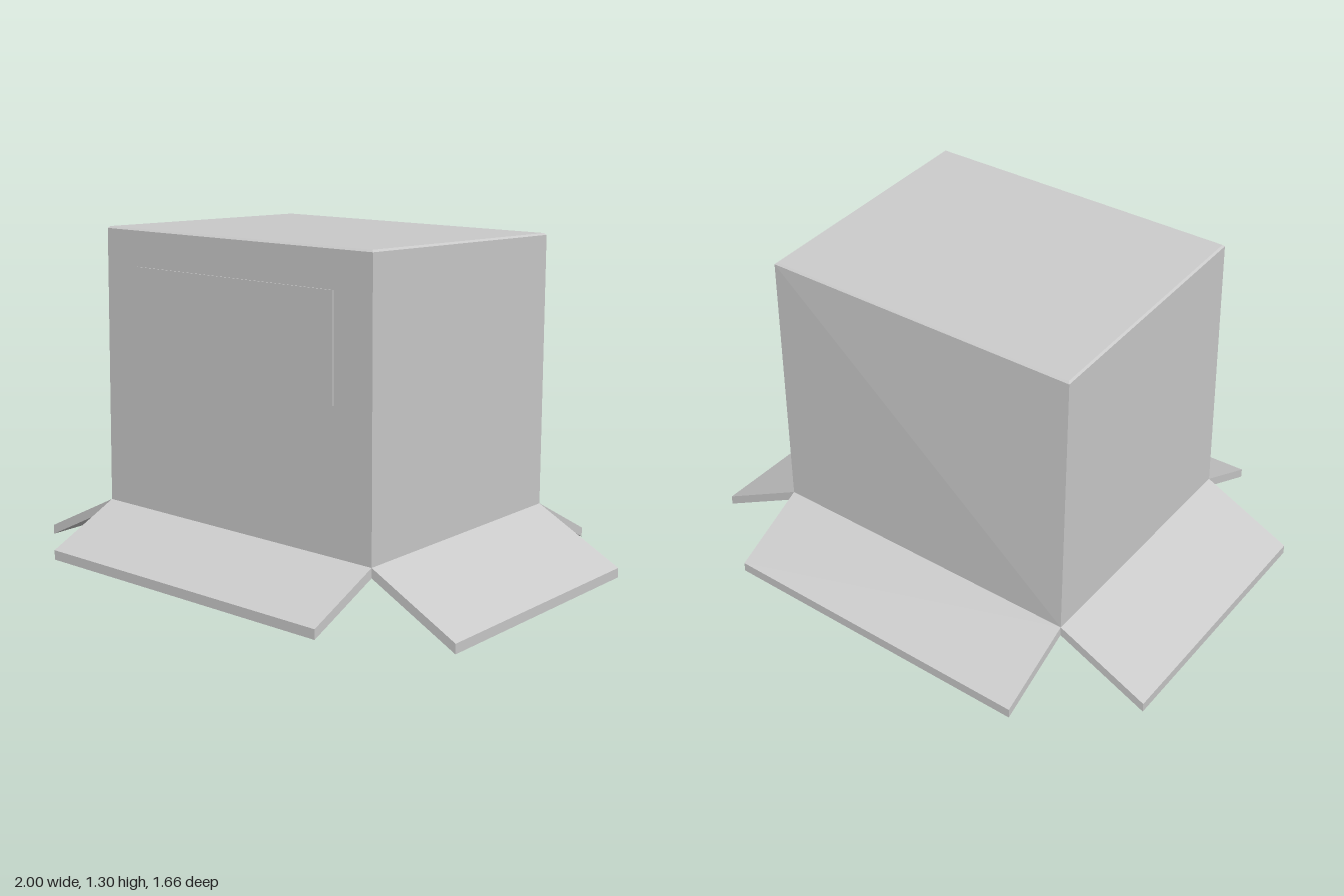
import * as THREE from 'three';

// Skin a stack of four-cornered rings (top to bottom, counterclockwise from above) and cap both ends.
function loft(rings) {
  const pos = [];
  const quad = (a, b, c, d) => [a, b, c, a, c, d].forEach((p) => pos.push(...p));
  quad(...rings[0]);
  for (let r = 0; r + 1 < rings.length; r++) {
    const up = rings[r], low = rings[r + 1];
    for (let i = 0; i < 4; i++) {
      const j = (i + 1) % 4;
      quad(up[i], low[i], low[j], up[j]);
    }
  }
  quad(...[...rings[rings.length - 1]].reverse());
  const geo = new THREE.BufferGeometry();
  geo.setAttribute('position', new THREE.Float32BufferAttribute(pos, 3));
  geo.computeVertexNormals();
  return geo;
}

// Move a ring's corners inward by d and up by dy.
const inset = (ring, d, dy) =>
  ring.map(([x, y, z]) => [x - Math.sign(x) * d, y + dy, z - Math.sign(z) * d]);

export function createModel() {
  const group = new THREE.Group();
  group.name = 'openCardboardBox';
  const material = new THREE.MeshStandardMaterial({ color: 0xcccccc });
  const add = (name, geometry) => {
    const mesh = new THREE.Mesh(geometry, material);
    mesh.name = name;
    group.add(mesh);
    return mesh;
  };

  const thick = 0.037;
  const hinge = 0.22;
  // Corners in order: left front, left back, right back, right front
  const top = [[0.643, 1.3, 0.535], [0.645, 1.26, -0.485], [-0.627, 1.24, -0.49], [-0.627, 1.28, 0.535]];
  const base = [[0.645, hinge, 0.535], [0.645, hinge, -0.487], [-0.647, hinge, -0.532], [-0.647, hinge, 0.535]];
  const rim = inset(base, 0, -thick);

  // Slightly skewed box body with a shallow recess underneath
  add('boxBody', loft([
    inset(top, 0.007, 0),
    inset(top, 0, -0.007),
    base,
    rim,
    inset(rim, 0.035, 0),
    inset(rim, 0.035, 0.06),
  ]));

  // Four flaps folded outward and down: hinge edge, then the two tip corners
  const [lf, lb, rb, rf] = base;
  const flaps = {
    frontFlap: [lf, rf, [-0.647, 0.085, 0.83], [0.645, 0.085, 0.83]],
    backFlap: [rb, lb, [0.655, 0.055, -0.785], [-0.635, 0.052, -0.835]],
    leftFlap: [lb, lf, [1, thick, 0.535], [1, thick, -0.487]],
    rightFlap: [rf, rb, [-1, 0.045, -0.532], [-1, 0.045, 0.535]],
  };
  for (const [name, upper] of Object.entries(flaps)) {
    add(name, loft([upper, inset(upper, 0, -thick)]));
  }

  // Thin label panel on the front
  const label = new THREE.Shape([
    new THREE.Vector2(-0.475, 0.75),
    new THREE.Vector2(0.475, 0.757),
    new THREE.Vector2(0.475, 1.152),
    new THREE.Vector2(-0.47, 1.142),
  ]);
  add('frontLabel', new THREE.ExtrudeGeometry(label, { depth: 0.006, bevelEnabled: false }))
    .position.z = 0.533;

  return group;
}
